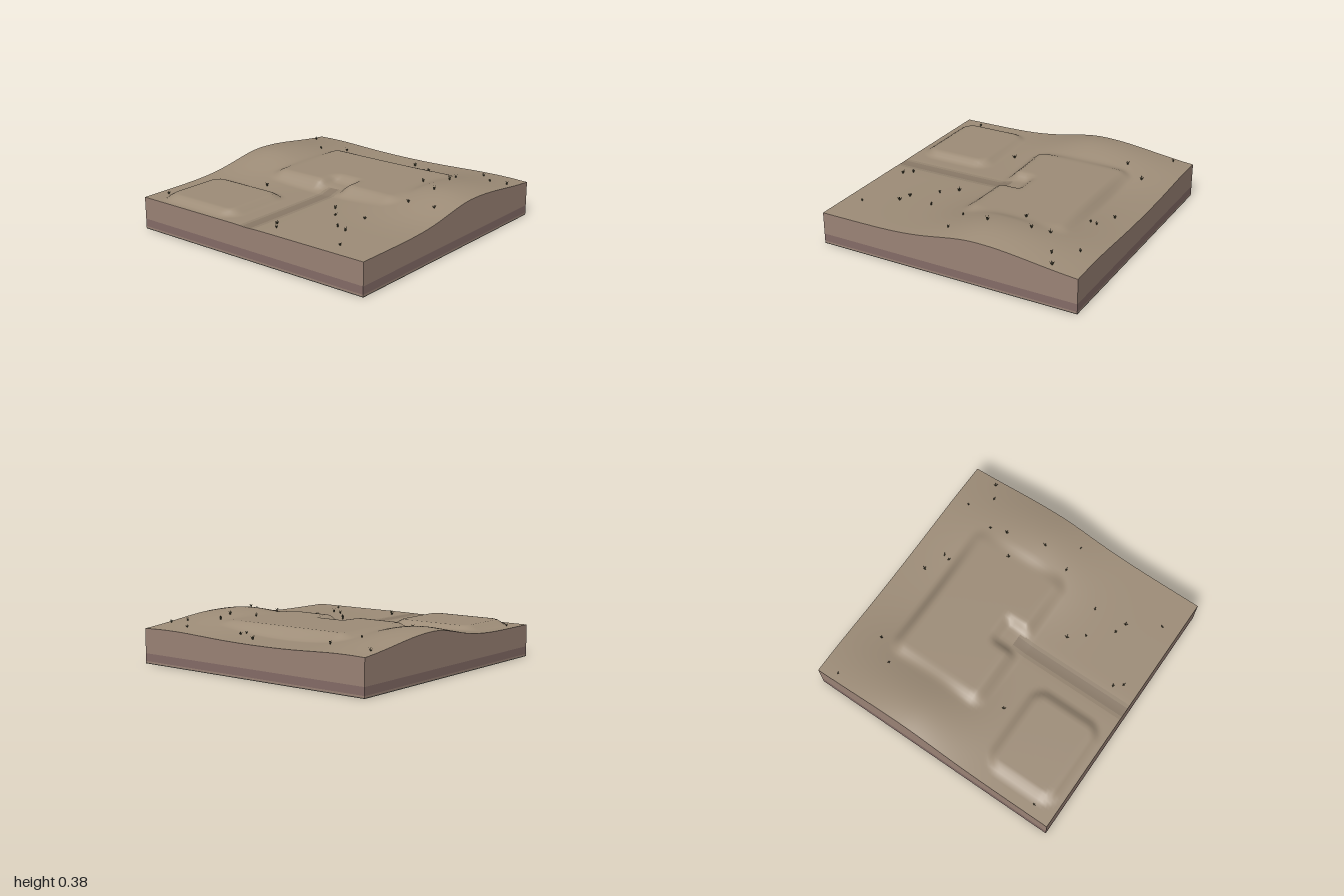
import * as THREE from 'three';
import { mergeGeometries } from 'three/addons/utils/BufferGeometryUtils.js';

const GRID = 80;
const smooth = THREE.MathUtils.smoothstep;
const lerp = THREE.MathUtils.lerp;
const bell = (d, s) => Math.exp(-d * d / (2 * s * s));

// 1 inside a rounded rectangle, fading to 0 across the bank width
function padMask(x, z, cx, cz, hx, hz, r, bank) {
  const dx = Math.abs(x - cx) - hx + r, dz = Math.abs(z - cz) - hz + r;
  const d = Math.hypot(Math.max(dx, 0), Math.max(dz, 0)) + Math.min(Math.max(dx, dz), 0) - r;
  return 1 - smooth(d, 0, bank);
}

// Ground height: two side hills, a building terrace with a doorway cut, a small front pad
function ground(x, z) {
  const ridge = bell(z + 0.25, z > -0.25 ? 0.29 : 0.42);
  const hills = 0.115 * bell(x - 0.75, 0.32) + 0.11 * bell(x + 0.85, 0.28);
  let h = 0.24 + ridge * hills;
  const base = h;
  h = lerp(h, 0.32, padMask(x, z, 0, -0.28, 0.5, 0.32, 0.02, 0.11));
  const floor = lerp(0.275, base, smooth(z, -0.04, 0.2));
  const cut = (1 - smooth(Math.abs(x), 0.06, 0.14)) * smooth(z, -0.13, -0.04);
  h = lerp(h, Math.min(h, floor), cut);
  h = lerp(h, 0.28, padMask(x, z, -0.535, 0.66, 0.285, 0.23, 0.06, 0.08));
  // shallow footpath
  return h - 0.004 * bell(x, 0.045) * smooth(z, 0, 0.15);
}

function mesh(name, geometry, color) {
  const m = new THREE.Mesh(geometry, new THREE.MeshStandardMaterial({ color }));
  m.name = name;
  return m;
}

// Horizontal patch draped on the ground
function drape(w, d, cx, cz, nx, nz, lift) {
  const g = new THREE.PlaneGeometry(w, d, nx, nz).rotateX(-Math.PI / 2).translate(cx, 0, cz);
  const p = g.attributes.position;
  for (let i = 0; i < p.count; i++) p.setY(i, ground(p.getX(i), p.getZ(i)) + lift);
  g.computeVertexNormals();
  return g;
}

// One soil layer around all four sides; without a top height it follows the ground
function soilLayer(bottom, top) {
  const sides = [];
  for (let k = 0; k < 4; k++) {
    const g = new THREE.PlaneGeometry(2, 1, GRID, 1).translate(0, 0, 1).rotateY(k * Math.PI / 2);
    const p = g.attributes.position;
    for (let i = 0; i < p.count; i++) {
      const upper = top ?? ground(p.getX(i), p.getZ(i));
      p.setY(i, p.getY(i) > 0 ? upper : bottom);
    }
    sides.push(g);
  }
  return mergeGeometries(sides);
}

// Tuft of leaning blades
function tuftGeometry() {
  const blades = [];
  for (let i = 0; i < 5; i++) {
    const g = new THREE.ConeGeometry(0.004, i ? 0.034 : 0.03, 4, 1, true).translate(0, 0.014, 0);
    if (i) g.rotateZ(i % 2 ? 0.35 : 0.55);
    blades.push(g.rotateY(i * Math.PI / 2 + 0.3));
  }
  return mergeGeometries(blades);
}

export function createModel() {
  const model = new THREE.Group();
  model.name = 'terrainTile';

  model.add(mesh('groundSurface', drape(2, 2, 0, 0, GRID, GRID, 0), 0x9e8d78));
  // footpath, darker towards its middle
  model.add(mesh('pathEdge', drape(0.13, 0.95, 0, 0.525, 8, 38, 0.001), 0x958571));
  model.add(mesh('pathMiddle', drape(0.075, 0.95, 0, 0.525, 6, 38, 0.002), 0x8a7a68));

  model.add(mesh('upperSoil', soilLayer(0.075), 0x9c8477));
  model.add(mesh('darkSoilBand', soilLayer(0.018, 0.075), 0x866d68));
  model.add(mesh('lowerSoil', soilLayer(0.006, 0.018), 0x9c8477));
  model.add(mesh('baseRim', soilLayer(0, 0.006), 0x5a544c));
  model.add(mesh('underside', new THREE.PlaneGeometry(2, 2).rotateX(Math.PI / 2), 0x5a544c));

  // grass tufts, as x, z
  const spots = [
    [-0.94, -0.86], [-0.67, -0.6], [-0.54, -0.77], [0.09, -0.84], [0.26, -0.78], [0.25, -0.73],
    [0.62, -0.61], [0.65, -0.48], [0.7, -0.87], [0.84, -0.73], [0.95, -0.79], [0.72, -0.18],
    [0.87, 0.04], [0.66, 0.05], [0.5, -0.36], [0.24, 0.34], [0.33, 0.45], [0.54, 0.39],
    [0.48, 0.61], [0.57, 0.64], [0.71, 0.87], [0.12, 0.82], [0.17, 0.88], [-0.47, 0.27], [-0.92, 0.84],
  ];
  const tuft = tuftGeometry();
  const grass = new THREE.Group();
  grass.name = 'grassTufts';
  spots.forEach(([x, z], i) => {
    const t = mesh('grassTuft', tuft, 0x4b4a35);
    t.position.set(x, ground(x, z) - 0.002, z);
    t.rotation.y = i * 2.4;
    t.scale.setScalar(0.85 + 0.1 * (i % 4));
    grass.add(t);
  });
  model.add(grass);
  return model;
}
